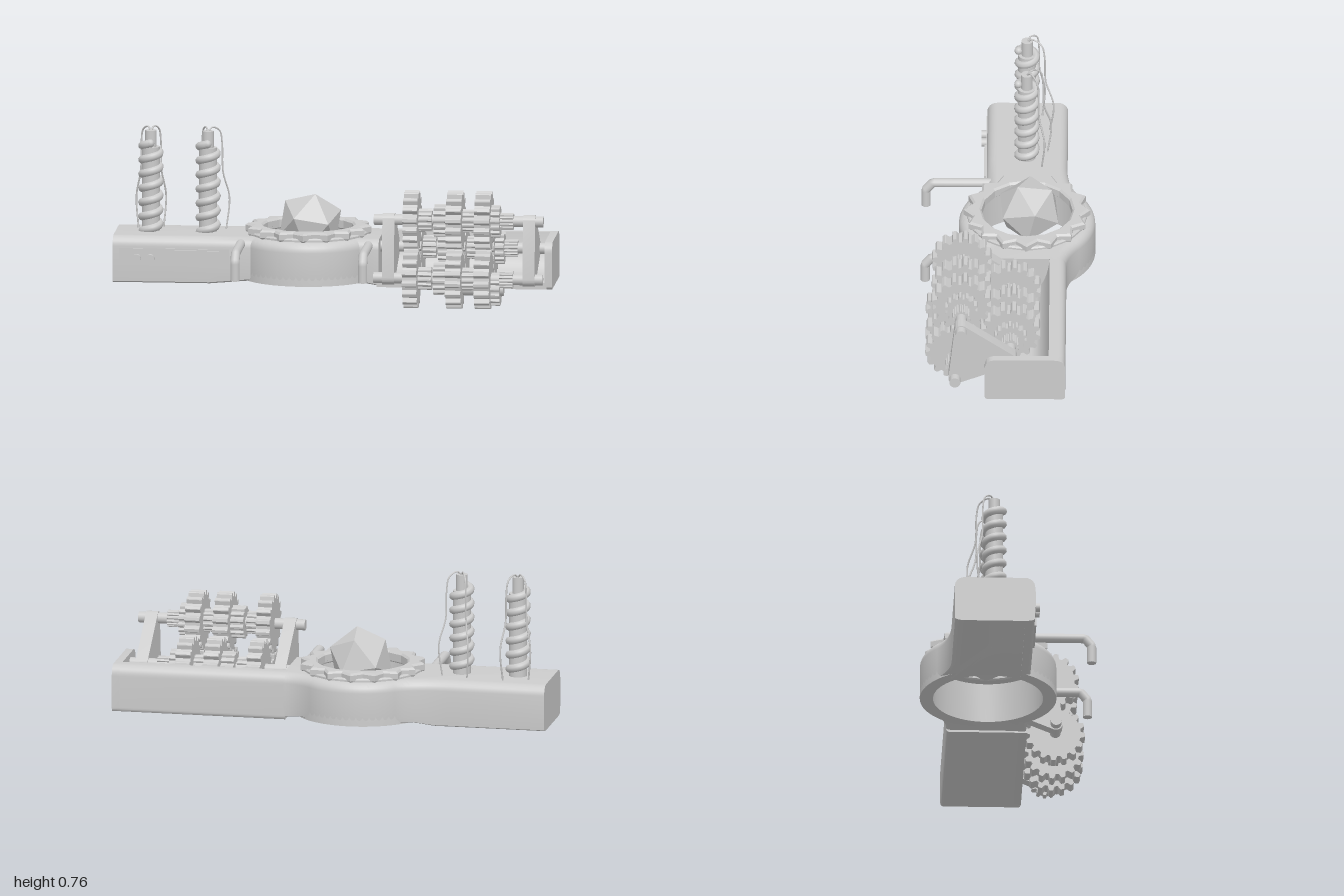
import * as THREE from 'three';
import { toCreasedNormals } from 'three/addons/utils/BufferGeometryUtils.js';

const grey = new THREE.MeshStandardMaterial({ color: 0xcccccc });
const V = (x, y, z) => new THREE.Vector3(x, y, z);

export function createModel() {
  const model = new THREE.Group();
  const add = (name, geometry, x = 0, y = 0, z = 0, parent = model) => {
    const mesh = new THREE.Mesh(geometry, grey);
    mesh.name = name;
    mesh.position.set(x, y, z);
    parent.add(mesh);
    return mesh;
  };
  const box = (name, x0, x1, y0, y1, z0, z1) =>
    add(name, new THREE.BoxGeometry(x1 - x0, y1 - y0, z1 - z0), (x0 + x1) / 2, (y0 + y1) / 2, (z0 + z1) / 2);
  // Extrude a (-z, y) outline along x
  const alongX = (shape, x0, x1) => {
    const g = new THREE.ExtrudeGeometry(shape, { depth: x1 - x0, bevelEnabled: false, curveSegments: 10 });
    return toCreasedNormals(g.rotateY(Math.PI / 2).translate(x0, 0, 0), 0.6);
  };

  // Main housing: bar with a round bulge and a vertical well through it
  const cx = -0.125, cz = -0.085, R = 0.264;
  const plan = new THREE.Shape();
  const a = Math.asin(0.14 / R), f = THREE.MathUtils.degToRad(50);
  plan.moveTo(-1, 0.22);
  plan.lineTo(-1, -0.055);
  plan.lineTo(-0.56, -0.055);
  plan.absarc(cx, -cz, R, Math.PI + a, 2 * Math.PI - a, false);
  plan.lineTo(0.21, -0.055);
  plan.lineTo(0.21, 0.22);
  plan.quadraticCurveTo(0.126, 0.22, cx + R * Math.cos(f), -cz + R * Math.sin(f));
  plan.absarc(cx, -cz, R, f, Math.PI - f, false);
  plan.quadraticCurveTo(-0.376, 0.22, -0.56, 0.22);
  plan.holes.push(new THREE.Path().absarc(cx, -cz, 0.26, 0, Math.PI * 2, true));
  const body = new THREE.ExtrudeGeometry(plan, {
    depth: 0.125, bevelThickness: 0.045, bevelSize: 0.045, bevelSegments: 6, curveSegments: 32,
  });
  body.rotateX(-Math.PI / 2).translate(0, 0.115, 0);
  const p = body.attributes.position;
  for (let i = 0; i < p.count; i++) {
    let x = p.getX(i), y = p.getY(i), z = p.getZ(i);
    const d = Math.hypot(x - cx, z - cz);
    // straight well wall, flat bar ends, tighter lower rounding, raised underside at the bulge
    if (d < 0.2605) {
      x = cx + (x - cx) * 0.25 / d;
      z = cz + (z - cz) * 0.25 / d;
    }
    x = THREE.MathUtils.clamp(x, -1, 0.21);
    if (y < 0.115) y = 0.087 - 0.017 * THREE.MathUtils.smoothstep(d, 0.3, 0.42) + (y - 0.07) * 0.3;
    p.setXYZ(i, x, y, z);
  }
  add('housing', toCreasedNormals(body, 0.6));
  const drum = [[0.25, 0.087], [0.31, 0.087], [0.308, 0.17], [0.303, 0.23], [0.296, 0.258], [0.283, 0.275],
    [0.25, 0.285], [0.25, 0.087]].map(([r, y]) => new THREE.Vector2(r, y));
  add('roundWell', toCreasedNormals(new THREE.LatheGeometry(drum, 64), 0.6), cx, 0, cz);

  // Open tray on the left side: back wall flowing into a floor, plus an end wall
  const backOutline = (shape) => {
    shape.lineTo(0.25, 0.07);
    shape.quadraticCurveTo(0.265, 0.07, 0.265, 0.09);
    shape.lineTo(0.265, 0.235);
    shape.quadraticCurveTo(0.265, 0.285, 0.215, 0.285);
  };
  const tray = new THREE.Shape();
  tray.moveTo(-0.1, 0.07);
  backOutline(tray);
  tray.lineTo(0.19, 0.285);
  tray.quadraticCurveTo(0.175, 0.13, 0.11, 0.11);
  tray.lineTo(-0.1, 0.1);
  add('trayFloorAndBack', alongX(tray, 0.2, 0.975));
  const end = new THREE.Shape();
  end.moveTo(-0.085, 0.07);
  backOutline(end);
  end.lineTo(-0.05, 0.285);
  end.quadraticCurveTo(-0.1, 0.285, -0.1, 0.235);
  end.lineTo(-0.1, 0.085);
  end.quadraticCurveTo(-0.1, 0.07, -0.085, 0.07);
  add('trayEndWall', alongX(end, 0.965, 1));

  // Toothed crown around the well
  const ringAt = (shape, depth, bevel) => {
    shape.holes.push(new THREE.Path().absarc(0, 0, 0.207 + bevel, 0, Math.PI * 2, true));
    return new THREE.ExtrudeGeometry(shape, {
      depth, bevelThickness: bevel, bevelSize: bevel, bevelSegments: 1, curveSegments: 8,
    }).rotateX(-Math.PI / 2);
  };
  const crown = new THREE.Shape();
  for (let i = 0; i < 32; i++) {
    const t = i * Math.PI / 16, r = i % 2 ? 0.238 : 0.275;
    crown[i ? 'lineTo' : 'moveTo'](r * Math.cos(t), r * Math.sin(t));
  }
  add('crownTeeth', ringAt(crown, 0.026, 0.009), cx, 0.29, cz);
  const washer = new THREE.Shape().absarc(0, 0, 0.268, 0, Math.PI * 2, false);
  add('crownBase', ringAt(washer, 0.012, 0.006), cx, 0.281, cz);

  // Faceted crystal, oriented from two neighbouring corners
  const A = V(0.028, 0.14, 0.05).normalize(), B = V(0.01, 0.11, -0.1).normalize();
  const up = A.clone().add(B).normalize(), side = A.clone().sub(B).normalize();
  const crystal = add('crystal', new THREE.IcosahedronGeometry(0.151, 0), -0.118, 0.33, -0.095);
  crystal.quaternion.setFromRotationMatrix(new THREE.Matrix4().makeBasis(side, up, side.clone().cross(up)));

  // Gear trains
  const gear = (r, n, x0, x1) => {
    const s = new THREE.Shape(), root = r * 0.85, step = Math.PI * 2 / n;
    for (let i = 0; i < n; i++)
      [[0, root], [0.3, root], [0.46, r * 0.98], [0.52, r], [0.78, r], [0.84, r * 0.98]].forEach(([t, q], k) => {
        const w = (i + t) * step;
        s[i + k ? 'lineTo' : 'moveTo'](q * Math.cos(w), q * Math.sin(w));
      });
    return new THREE.ExtrudeGeometry(s, { depth: x1 - x0, bevelEnabled: false })
      .rotateY(Math.PI / 2).translate(x0, 0, 0);
  };
  const rod = (r, x0, x1) => new THREE.CylinderGeometry(r, r, x1 - x0, 20)
    .rotateZ(Math.PI / 2).translate((x0 + x1) / 2, 0, 0);
  const shafts = [['upper', 0.4, 0.207], ['lower', 0.137, 0.235], ['rear', 0.24, -0.015]];
  const train = [
    [0.34, 0.405, 0.136, 16], [0.535, 0.605, 0.136, 16], [0.665, 0.735, 0.136, 16],
    [0.405, 0.465, 0.052, 12], [0.475, 0.535, 0.075, 14], [0.605, 0.665, 0.052, 12],
    [0.735, 0.775, 0.075, 14], [0.775, 0.835, 0.039, 14],
  ];
  shafts.forEach(([label, y, z], k) => {
    const group = new THREE.Group();
    group.name = label + 'GearTrain';
    group.position.set(0, y, z);
    model.add(group);
    add('shaft', rod(0.025, 0.2, 0.97), 0, 0, 0, group);
    train.forEach(([x0, x1, r, n], i) => {
      if (k === 1 && i === 6) return;
      add('gear', gear(r, n, x0, x1), 0, 0, 0, group).rotation.x = k * 0.2;
    });
  });
  add('idlerGear', gear(0.076, 14, 0.735, 0.775), 0, 0.087, 0.205);
  add('idlerBoss', rod(0.03, 0.6, 0.79), 0, 0.087, 0.205);

  // Triangular side plates with rounded corners carrying the shafts
  const plate = new THREE.Shape();
  const corners = shafts.map(([, y, z]) => [-z, y]);
  corners.forEach(([u, v], i) => {
    const [pu, pv] = corners[(i + 2) % 3], [nu, nv] = corners[(i + 1) % 3];
    plate.absarc(u, v, 0.03, Math.atan2(v - pv, u - pu) - Math.PI / 2, Math.atan2(nv - v, nu - u) - Math.PI / 2, false);
  });
  add('innerGearPlate', alongX(plate, 0.24, 0.295));
  add('outerGearPlate', alongX(plate, 0.88, 0.935));

  // Bent pipes on both sides of the bulge
  const pipe = new THREE.CurvePath();
  const bends = [V(0, 0.257, 0.06), V(0, 0.257, 0.345), V(0, 0.22, 0.375), V(0, 0.135, 0.375)];
  for (let i = 0; i < 3; i++) pipe.add(new THREE.LineCurve3(bends[i], bends[i + 1]));
  for (const x of [-0.418, 0.163]) {
    add('frontPipe', new THREE.TubeGeometry(pipe, 48, 0.021, 14), x);
    add('pipeEnd', new THREE.CircleGeometry(0.021, 14).rotateX(Math.PI / 2), x, 0.135, 0.375);
  }

  // Coil towers with a pair of loose wires each
  class Helix extends THREE.Curve {
    getPoint(t, out = new THREE.Vector3()) {
      const w = (t - 1) * Math.PI * 2 * 6.2;
      return out.set(0.039 * Math.sin(w), 0.285 + 0.405 * t, 0.039 * Math.cos(w));
    }
  }
  const coil = new THREE.TubeGeometry(new Helix(), 180, 0.019, 8);
  const towers = [
    [-0.842, [[-0.073, -0.08], [0.058, -0.12]]],
    [-0.582, [[-0.05, -0.11], [0.09, -0.08]]],
  ];
  for (const [x, wires] of towers) {
    const tower = new THREE.Group();
    tower.name = 'coilTower';
    tower.position.set(x, 0, -0.081);
    model.add(tower);
    add('core', new THREE.CylinderGeometry(0.026, 0.026, 0.475, 20), 0, 0.5075, 0, tower);
    add('sleeve', new THREE.CylinderGeometry(0.041, 0.041, 0.39, 20), 0, 0.475, 0, tower);
    add('coil', coil, 0, 0, 0, tower);
    add('coilEnd', new THREE.SphereGeometry(0.019, 10, 8), ...new Helix().getPoint(1), tower);
    for (const [dx, dz] of wires) {
      const path = new THREE.CatmullRomCurve3([[0, 0.74], [0.2, 0.76], [0.55, 0.74], [0.66, 0.68],
        [0.7, 0.55], [1, 0.43], [0.85, 0.28]].map(([k, y]) => V(dx * k, y, dz * k)));
      add('wire', new THREE.TubeGeometry(path, 40, 0.004, 6), 0, 0, 0, tower);
    }
  }

  // Control panel on the front
  box('panel', -0.97, -0.47, 0.155, 0.232, 0.09, 0.104);
  box('panelDisplay', -0.755, -0.515, 0.162, 0.225, 0.09, 0.113);
  for (const x of [-0.89, -0.828])
    add('panelKnob', new THREE.CylinderGeometry(0.019, 0.019, 0.035, 20).rotateX(Math.PI / 2), x, 0.188, 0.108);

  return model;
}
